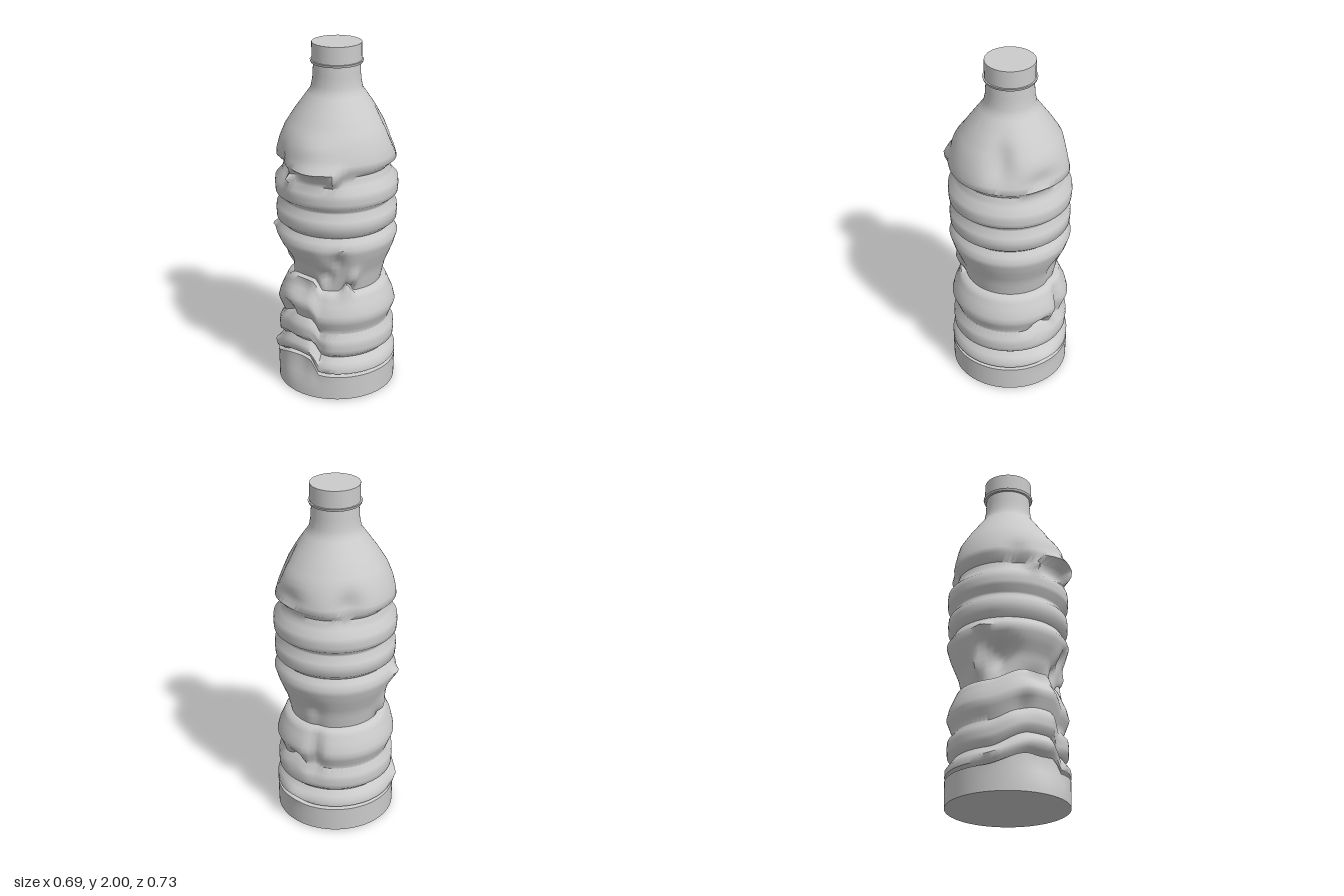
import * as THREE from 'three';
import { toCreasedNormals } from 'three/addons/utils/BufferGeometryUtils.js';

const AXIS_X = -0.003, AXIS_Z = -0.025, SIDES = 72;

// one bulging rib between two grooves, as [height, radius] points
const rib = (low, high, r, groove) => [
  [low, groove], [low + 0.028, r - 0.003], [(low + high) / 2, r], [high - 0.04, r - 0.003], [high - 0.005, groove]
];

// bottle outline from the floor to the neck
const PROFILE = [
  [0.008, 0.336], [0.15, 0.338],
  [0.155, 0.305], [0.172, 0.338], [0.205, 0.338], [0.25, 0.305],
  ...rib(0.26, 0.41, 0.33, 0.297),
  [0.5, 0.334], [0.55, 0.322], [0.642, 0.282],
  [0.65, 0.252], [0.75, 0.275], [0.86, 0.32], [0.93, 0.341],
  ...rib(0.99, 1.135, 0.337, 0.303),
  ...rib(1.143, 1.29, 0.342, 0.305),
  [1.335, 0.29], [1.375, 0.333], [1.41, 0.33], [1.47, 0.314], [1.54, 0.285],
  [1.62, 0.235], [1.7, 0.178], [1.75, 0.142], [1.8, 0.132], [1.9, 0.126]
];

// a crumple pushes the wall in or out and may shift it vertically
const dent = (angle, height, wide, tall, push, lift = 0) => ({ angle, height, wide, tall, push, lift });

const BASE_DENTS = [
  dent(-8, 0.14, 20, 0.06, -0.05),
  dent(-60, 0.2, 10, 0.03, 0.02),
  dent(-28, 0.42, 9, 0.06, -0.035),
  dent(14, 0.3, 7, 0.09, -0.03),
  dent(-8, 0.6, 16, 0.05, -0.035),
  dent(174, 0.18, 14, 0.03, 0.015, 0.025),
  dent(-163, 0.5, 7, 0.12, -0.04),
  dent(170, 0.4, 10, 0.05, -0.03, 0.03)
];
const WAIST_DENTS = [
  dent(-54, 0.77, 15, 0.08, -0.085, 0.02),
  dent(-78, 0.76, 7, 0.06, 0.035, -0.04),
  dent(-68, 0.92, 8, 0.03, 0.03),
  dent(34, 0.84, 7, 0.06, -0.04),
  dent(23, 0.74, 7, 0.05, -0.04),
  dent(52, 0.74, 6, 0.05, 0.04),
  dent(46, 0.65, 5, 0.03, 0, 0.07),
  dent(-165, 0.76, 9, 0.06, -0.02)
];
const SHOULDER_DENTS = [
  dent(-16, 1.31, 5, 0.035, 0.065),
  dent(12, 1.36, 22, 0.055, 0.06),
  dent(31, 1.33, 6, 0.04, 0.06),
  dent(10, 1.48, 22, 0.06, 0.025),
  dent(-36, 1.38, 10, 0.06, -0.03),
  dent(125, 1.52, 14, 0.1, -0.045),
  dent(-128, 1.42, 13, 0.07, -0.04),
  dent(168, 1.42, 20, 0.05, -0.03)
];
const DENTS = [...BASE_DENTS, ...WAIST_DENTS, ...SHOULDER_DENTS];

const step = THREE.MathUtils.smoothstep;
const bell = (d, w) => Math.exp(-(d * d) / (w * w));

// one point on the crumpled wall
function wallPoint(deg, y, r) {
  let radius = r, height = y;
  for (const d of DENTS) {
    const turn = ((deg - d.angle + 540) % 360) - 180;
    const k = bell(turn, d.wide) * bell(y - d.height, d.tall);
    radius += d.push * k;
    height += d.lift * k;
  }
  // the lower ribs are shoved upward across the front, with a sharp step on one side
  const front = step(deg, -65, -22) * (1 - step(deg, 7, 14));
  height += 0.08 * front * step(y, 0.02, 0.18) * (1 - 0.25 * step(y, 0.36, 0.6)) * (1 - step(y, 0.66, 0.95));
  const t = THREE.MathUtils.degToRad(deg);
  return [AXIS_X + radius * Math.sin(t), height, AXIS_Z + radius * Math.cos(t)];
}

function crumpledWall() {
  // subdivide the tall bands so they can bend
  const rows = [PROFILE[0]];
  for (let i = 1; i < PROFILE.length; i++) {
    const [y0, r0] = PROFILE[i - 1], [y1, r1] = PROFILE[i];
    const n = Math.max(1, Math.round((y1 - y0) / 0.03));
    for (let k = 1; k <= n; k++) rows.push([y0 + (y1 - y0) * k / n, r0 + (r1 - r0) * k / n]);
  }
  const pos = [], index = [];
  for (const [y, r] of rows)
    for (let s = 0; s < SIDES; s++) pos.push(...wallPoint(-180 + 360 * s / SIDES, y, r));
  for (let j = 0; j < rows.length - 1; j++)
    for (let s = 0; s < SIDES; s++) {
      const a = j * SIDES + s, b = j * SIDES + (s + 1) % SIDES, c = a + SIDES, d = b + SIDES;
      index.push(a, b, d, a, d, c);
    }
  // closed floor
  const centre = pos.length / 3;
  pos.push(AXIS_X, 0, AXIS_Z);
  for (let s = 0; s < SIDES; s++) index.push(centre, (s + 1) % SIDES, s);
  const geo = new THREE.BufferGeometry();
  geo.setAttribute('position', new THREE.Float32BufferAttribute(pos, 3));
  geo.setIndex(index);
  return toCreasedNormals(geo, THREE.MathUtils.degToRad(62));
}

export function createModel() {
  const group = new THREE.Group();
  const material = new THREE.MeshStandardMaterial({ color: 0xcccccc, side: THREE.DoubleSide });
  const add = (name, geo, x = 0, y = 0, z = 0) => {
    const mesh = new THREE.Mesh(geo, material);
    mesh.name = name;
    mesh.position.set(x, y, z);
    group.add(mesh);
  };

  add('crumpledBody', crumpledWall());
  // neck ring and screw cap
  add('neckRing', new THREE.CylinderGeometry(0.145, 0.14, 0.014, 24), AXIS_X, 1.897, AXIS_Z);
  add('cap', new THREE.CylinderGeometry(0.136, 0.136, 0.1, 24), AXIS_X, 1.95, AXIS_Z);
  return group;
}
